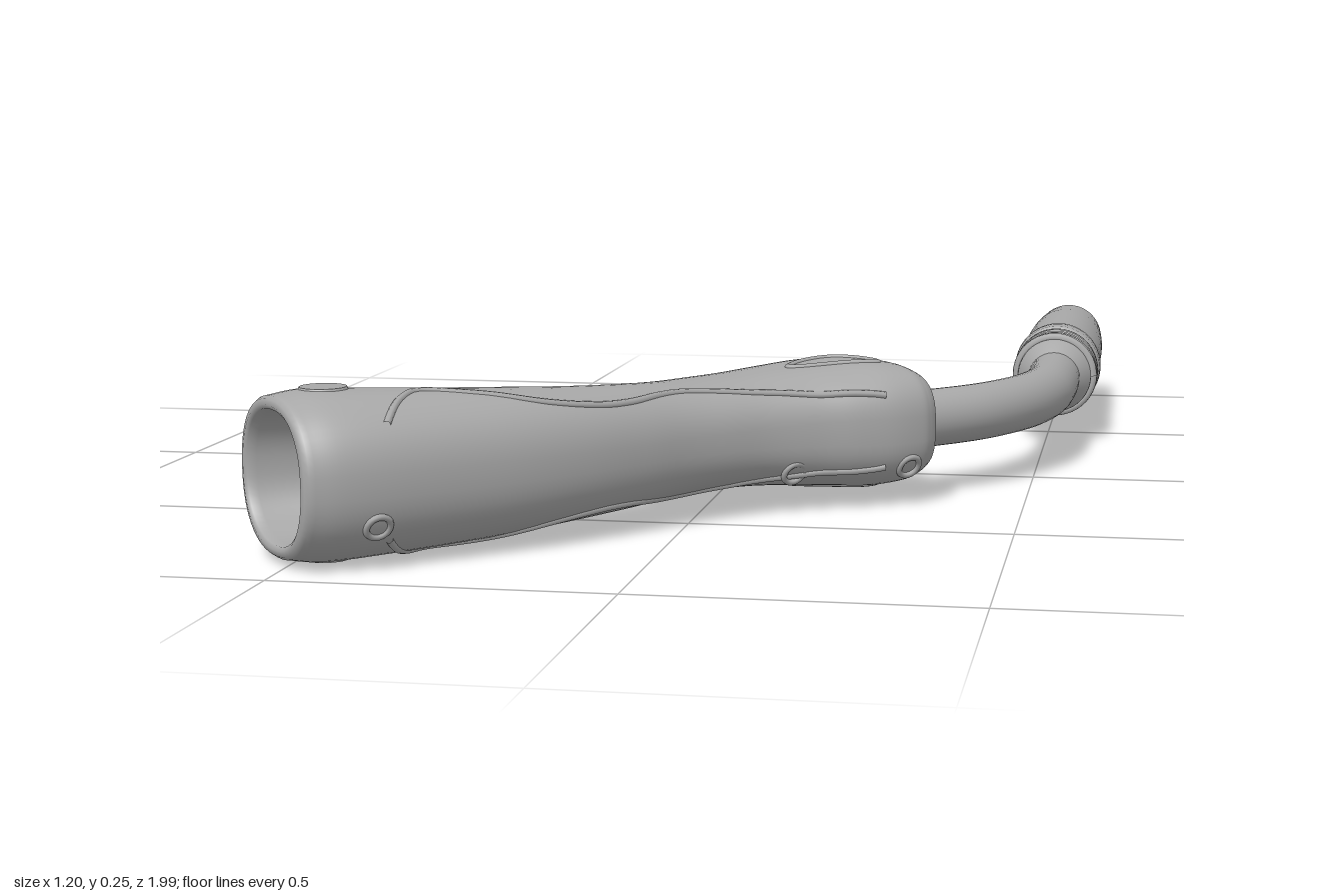
import * as THREE from 'three';

const grey = new THREE.MeshStandardMaterial({ color: 0xa8a8a8 });
grey.name = 'grey';

const AXIS_Y = 0.122;
const NOZZLE_X = 0.515;

// Handle stations: distance along grip, trigger-side edge, palm-side edge, half height, squareness
const STATIONS = [
  [0.0, 0.128, -0.132, 0.116, 2.3],
  [0.05, 0.125, -0.142, 0.123, 2.3],
  [0.13, 0.107, -0.145, 0.12, 2.3],
  [0.25, 0.079, -0.141, 0.113, 2.3],
  [0.35, 0.07, -0.134, 0.107, 2.3],
  [0.45, 0.071, -0.12, 0.1, 2.3],
  [0.55, 0.084, -0.1, 0.094, 2.3],
  [0.63, 0.112, -0.083, 0.089, 2.4],
  [0.7, 0.145, -0.074, 0.087, 2.5],
  [0.78, 0.165, -0.07, 0.088, 2.6],
  [0.86, 0.18, -0.08, 0.093, 2.7],
  [0.93, 0.187, -0.098, 0.098, 2.8],
  [0.99, 0.165, -0.109, 0.101, 2.8],
  [1.04, 0.13, -0.108, 0.096, 2.8],
  [1.062, 0.105, -0.1, 0.088, 2.8],
];
const edges = new THREE.CatmullRomCurve3(STATIONS.map(p => new THREE.Vector3(p[0], p[1], p[2])), false, 'catmullrom');
const girth = new THREE.CatmullRomCurve3(STATIONS.map(p => new THREE.Vector3(p[0], p[3], p[4])), false, 'catmullrom');

function sectionAt(t) {
  const a = edges.getPoint(t), b = girth.getPoint(t);
  return { s: a.x, mid: (a.y + a.z) / 2, width: (a.y - a.z) / 2, height: b.y, power: b.z };
}

function sectionAtDistance(s) {
  let lo = 0, hi = 1;
  for (let i = 0; i < 24; i++) {
    const m = (lo + hi) / 2;
    if (edges.getPoint(m).x < s) lo = m; else hi = m;
  }
  return sectionAt(lo);
}

// Remaining half-size of a superellipse at a fraction q of the other axis
const arc = (q, e) => Math.pow(Math.max(0, 1 - Math.pow(Math.abs(q), e)), 1 / e);

function add(parent, name, geometry) {
  const mesh = new THREE.Mesh(geometry, grey);
  mesh.name = name;
  parent.add(mesh);
  return mesh;
}

// Loft of superellipse rings, including the hollow rear and the rounded nose
function handleGeometry() {
  const rings = [];
  const first = sectionAt(0), last = sectionAt(1);
  for (const [s, k] of [[0.09, 0], [0.09, 0.74], [0.085, 0.78], [0.01, 0.82], [-0.004, 0.84], [-0.008, 0.89], [-0.006, 0.96]])
    rings.push({ ...first, s, width: first.width * k, height: first.height * k });
  const steps = 80;
  for (let i = 0; i <= steps; i++) rings.push(sectionAt(i / steps));
  for (const [s, k] of [[1.074, 0.93], [1.08, 0.84], [1.082, 0.76], [1.082, 0]])
    rings.push({ ...last, s, width: last.width * k, height: last.height * k });

  const sides = 56, pos = [], index = [];
  rings.forEach((r, i) => {
    for (let j = 0; j < sides; j++) {
      const a = j / sides * Math.PI * 2, c = Math.cos(a), d = Math.sin(a);
      const p = 2 / r.power;
      pos.push(r.s,
        r.height * Math.sign(d) * Math.pow(Math.abs(d), p),
        -r.mid + r.width * Math.sign(c) * Math.pow(Math.abs(c), p));
      if (i === rings.length - 1) continue;
      const k = (j + 1) % sides, A = i * sides, B = A + sides;
      index.push(A + j, B + j, A + k, B + j, B + k, A + k);
    }
  });
  const g = new THREE.BufferGeometry();
  g.setAttribute('position', new THREE.Float32BufferAttribute(pos, 3));
  g.setIndex(index);
  g.computeVertexNormals();
  return g;
}

// Raised seam that follows the upper (side 1) or lower (side -1) face of the grip
function seamGeometry(points, side, closed) {
  const flat = new THREE.CatmullRomCurve3(points.map(([s, n]) => new THREE.Vector3(s, 0, -n)), closed, 'centripetal');
  const path = flat.getPoints(60).map(p => {
    const r = sectionAtDistance(p.x);
    p.y = side * (r.height * arc((-p.z - r.mid) / r.width, r.power) - 0.002);
    return p;
  });
  if (closed) path.pop();
  return new THREE.TubeGeometry(new THREE.CatmullRomCurve3(path, closed), 90, 0.006, 8, closed);
}

// Side-profile plate, centred on the grip's middle plane
function plateGeometry(points, width) {
  const bevel = 0.006;
  const shape = new THREE.Shape();
  shape.moveTo(...points[0]);
  shape.splineThru(points.slice(1).map(p => new THREE.Vector2(...p)));
  shape.closePath();
  const g = new THREE.ExtrudeGeometry(shape, {
    depth: width - 2 * bevel, bevelSize: bevel, bevelThickness: bevel, bevelOffset: -bevel, bevelSegments: 3, curveSegments: 6,
  });
  g.translate(0, 0, -width / 2 + bevel);
  return g.rotateX(-Math.PI / 2);
}

function buildHandle() {
  const handle = new THREE.Group();
  handle.name = 'handle';
  handle.position.set(-0.52, AXIS_Y, 0.89);
  handle.rotation.y = 0.705;
  add(handle, 'grip', handleGeometry());

  // Finger hook and trigger lever
  add(handle, 'fingerHook', plateGeometry([[0.6, 0.07], [0.645, 0.135], [0.672, 0.205], [0.686, 0.246],
    [0.703, 0.24], [0.7, 0.205], [0.722, 0.178], [0.765, 0.165], [0.765, 0.09]], 0.11));
  add(handle, 'trigger', plateGeometry([[0.77, 0.14], [0.762, 0.19], [0.738, 0.235], [0.752, 0.244],
    [0.785, 0.207], [0.85, 0.193], [0.93, 0.195], [0.95, 0.15]], 0.075));

  // Moulded seams and round bosses on both faces
  const palmSeam = [[0.122, -0.117], [0.165, -0.07], [0.203, -0.043], [0.28, -0.062], [0.373, -0.086],
    [0.47, -0.084], [0.535, -0.07], [0.648, -0.032], [0.784, -0.04], [0.88, -0.066], [0.975, -0.095]];
  const noseSeam = [[0.876, 0.035], [0.92, 0.068], [0.974, 0.07], [1.01, 0.03], [1.015, -0.012], [0.95, 0.005]];
  for (const side of [1, -1]) {
    add(handle, 'palmSeam', seamGeometry(palmSeam, side, false));
    add(handle, 'noseSeam', seamGeometry(noseSeam, side, true));
    const boss = add(handle, 'boss', new THREE.CylinderGeometry(0.034, 0.038, 0.008, 28));
    boss.position.set(0.074, side * 0.121, 0);
    if (side < 0) boss.rotation.x = Math.PI;
  }

  // Screw sockets low on the palm side
  for (const s of [0.1, 0.83, 1.02]) {
    const r = sectionAtDistance(s), y = -0.06;
    const socket = add(handle, 'screwSocket', new THREE.TorusGeometry(0.018, 0.005, 8, 24));
    socket.position.set(s, y, -r.mid + r.width * arc(y / r.height, r.power) - 0.001);
    socket.rotation.x = 0.5;
  }

  // Collar where the neck enters
  const collar = add(handle, 'neckCollar', new THREE.TorusGeometry(0.056, 0.012, 12, 40));
  collar.rotation.y = Math.PI / 2;
  collar.position.set(1.082, 0, 0);
  return handle;
}

function buildNozzle() {
  const nozzle = new THREE.Group();
  nozzle.name = 'nozzleAssembly';
  nozzle.position.set(NOZZLE_X, AXIS_Y - 0.002, 0);
  const lathe = points => new THREE.LatheGeometry(points.map(p => new THREE.Vector2(...p)), 48).rotateX(-Math.PI / 2);

  // Flared adapter under the coil
  add(nozzle, 'adapter', lathe([[0.044, 0.345], [0.05, 0.352], [0.066, 0.378], [0.067, 0.385], [0.064, 0.39], [0.064, 0.5]]));

  // Retaining coil
  const coil = [];
  for (let i = 0; i <= 90; i++) {
    const a = i / 90 * Math.PI * 10;
    coil.push(new THREE.Vector3(0.069 * Math.cos(a), 0.069 * Math.sin(a), -0.388 - 0.098 * i / 90));
  }
  add(nozzle, 'coil', new THREE.TubeGeometry(new THREE.CatmullRomCurve3(coil), 220, 0.0085, 8));

  // Collar and tapered, hollow gas nozzle
  add(nozzle, 'nozzleCollar', lathe([[0.06, 0.488], [0.074, 0.49], [0.079, 0.497], [0.08, 0.52], [0.079, 0.543], [0.074, 0.552], [0.07, 0.553]]));
  add(nozzle, 'gasNozzle', lathe([[0.073, 0.545], [0.0745, 0.6], [0.0745, 0.76], [0.073, 0.84], [0.069, 0.93],
    [0.0655, 0.994], [0.064, 1.0], [0.059, 1.0], [0.058, 0.994], [0.06, 0.9], [0.061, 0.6], [0, 0.6]]));
  return nozzle;
}

export function createModel() {
  const model = new THREE.Group();
  model.name = 'weldingTorch';
  model.add(buildHandle());

  // Swan neck
  const path = [[0.24, 0.255], [0.31, 0.193], [0.41, 0.085], [0.473, -0.03], [0.506, -0.15], [0.515, -0.27], [0.515, -0.4]];
  const neck = new THREE.CatmullRomCurve3(path.map(([x, z]) => new THREE.Vector3(x, AXIS_Y - 0.002, z)));
  add(model, 'neck', new THREE.TubeGeometry(neck, 60, 0.047, 32));

  model.add(buildNozzle());
  return model;
}
